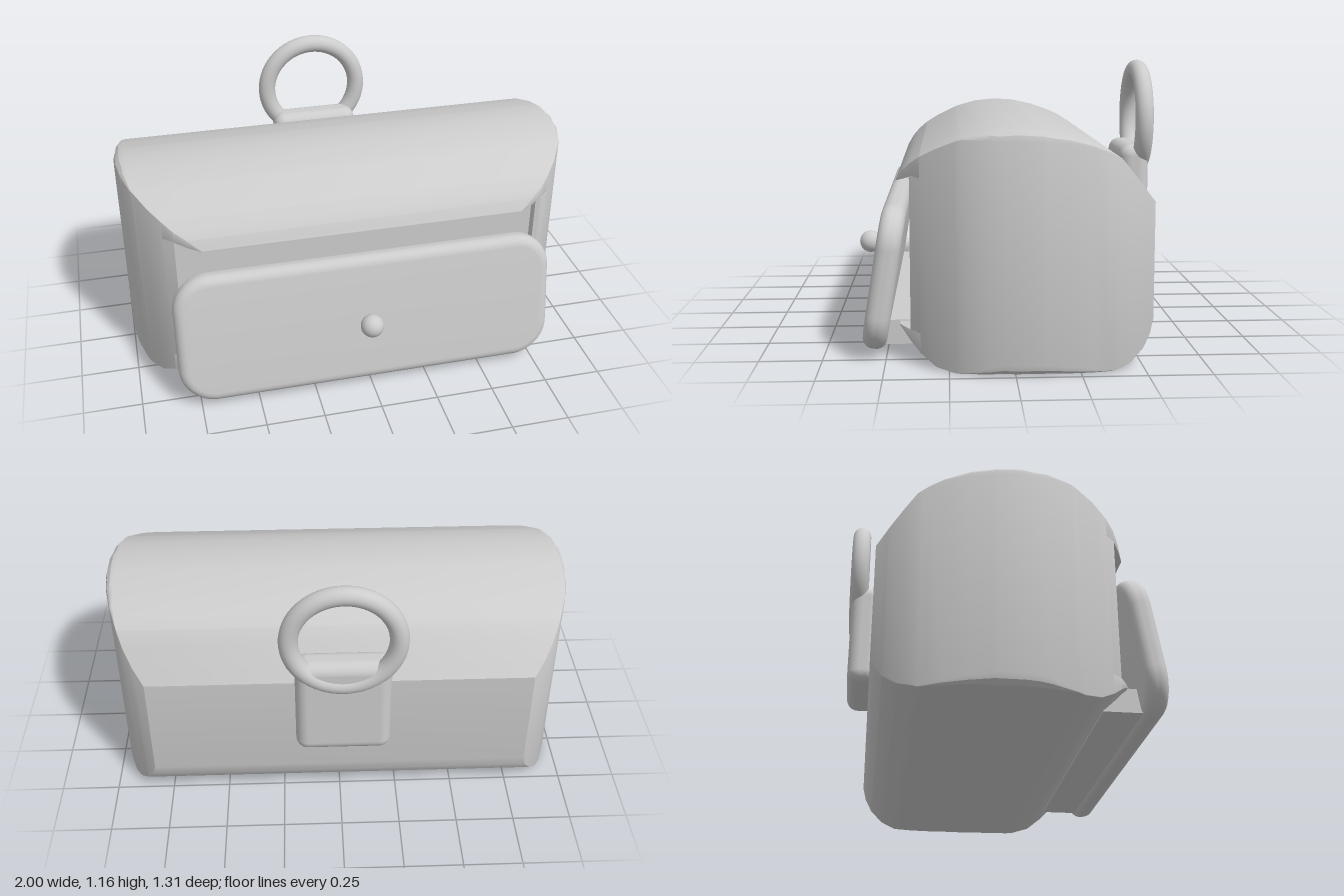
import * as THREE from 'three';
import { toCreasedNormals } from 'three/addons/utils/BufferGeometryUtils.js';
import { RoundedBoxGeometry } from 'three/addons/geometries/RoundedBoxGeometry.js';

// Linear lookup in a list of [z, value] pairs sorted by z
function lookup(table, z) {
  for (let i = 1; i < table.length; i++) {
    const [z0, v0] = table[i - 1], [z1, v1] = table[i];
    if (z <= z1) return v0 + (v1 - v0) * Math.max(0, (z - z0) / (z1 - z0));
  }
  return table[table.length - 1][1];
}

// Arched roof, rounded underside and bowed half-width, each as a function of z
const ROOF = [[-0.55, 0.635], [-0.4, 0.815], [-0.35, 0.847], [-0.3, 0.87], [-0.2, 0.905], [-0.1, 0.927], [0, 0.933],
  [0.1, 0.923], [0.2, 0.895], [0.3, 0.851], [0.36, 0.817], [0.4, 0.785], [0.43, 0.753], [0.455, 0.71]];
const FLOOR = [[-0.55, 0.17], [-0.535, 0.115], [-0.505, 0.067], [-0.45, 0.023], [-0.38, 0], [0.23, 0],
  [0.3, 0.012], [0.36, 0.052], [0.4, 0.09], [0.445, 0.135]];
const WIDTH = [[-0.55, 0.815], [-0.5, 0.863], [-0.45, 0.9], [-0.4, 0.927], [-0.3, 0.964], [-0.2, 0.987], [-0.1, 0.999],
  [0, 0.999], [0.1, 0.984], [0.2, 0.95], [0.3, 0.89], [0.36, 0.84], [0.4, 0.797], [0.43, 0.745], [0.455, 0.69]];
const EDGE = [[-0.38, 0.002], [-0.12, 0.045], [0.05, 0.045], [0.22, 0.002]];

// Rounded rectangle, counter-clockwise seen from +z
function ring(x0, x1, y0, y1, z, r = 0.001) {
  const pts = [];
  const corners = [[x1 - r, y0 + r, -90], [x1 - r, y1 - r, 0], [x0 + r, y1 - r, 90], [x0 + r, y0 + r, 180]];
  for (const [cx, cy, start] of corners) {
    for (let i = 0; i <= 3; i++) {
      const a = THREE.MathUtils.degToRad(start + i * 30);
      pts.push([cx + r * Math.cos(a), cy + r * Math.sin(a), z]);
    }
  }
  return pts;
}

// Closed solid through rings listed in order of increasing z
function loft(rings) {
  const n = rings[0].length, index = [];
  rings.slice(1).forEach((_, i) => {
    for (let j = 0; j < n; j++) {
      const a = i * n + j, b = i * n + (j + 1) % n;
      index.push(a, b, b + n, a, b + n, a + n);
    }
  });
  const last = (rings.length - 1) * n;
  for (let j = 1; j < n - 1; j++) index.push(0, j + 1, j, last, last + j, last + j + 1);
  const geo = new THREE.BufferGeometry();
  geo.setAttribute('position', new THREE.Float32BufferAttribute(rings.flat(2), 3));
  geo.setIndex(index);
  return toCreasedNormals(geo, 0.5);
}

// All profile stations between two z values
function stations(from, to) {
  const all = [from, to, ...[ROOF, FLOOR, WIDTH, EDGE].flat().map(p => p[0])];
  return [...new Set(all)].filter(z => z >= from && z <= to).sort((a, b) => a - b);
}

function roundedPanel(w, h, corner, depth, bevel) {
  const x = w / 2 - bevel, y = h / 2 - bevel, r = corner - bevel;
  const s = new THREE.Shape();
  s.absarc(x - r, -y + r, r, -Math.PI / 2, 0);
  s.absarc(x - r, y - r, r, 0, Math.PI / 2);
  s.absarc(-x + r, y - r, r, Math.PI / 2, Math.PI);
  s.absarc(-x + r, -y + r, r, Math.PI, Math.PI * 1.5);
  s.closePath();
  const geo = new THREE.ExtrudeGeometry(s, {
    depth: depth - 2 * bevel, bevelEnabled: true, bevelSize: bevel, bevelThickness: bevel,
    bevelSegments: 6, curveSegments: 10,
  });
  geo.translate(0, 0, -depth / 2 + bevel);
  return toCreasedNormals(geo, 0.6);
}

export function createModel() {
  const model = new THREE.Group();
  model.name = 'box';
  const grey = new THREE.MeshStandardMaterial({ color: 0xcccccc });
  grey.name = 'light grey';
  const add = (name, geo, x = 0, y = 0, z = 0) => {
    const mesh = new THREE.Mesh(geo, grey);
    mesh.name = name;
    mesh.position.set(x, y, z);
    model.add(mesh);
    return mesh;
  };
  const W = z => lookup(WIDTH, z), T = z => lookup(ROOF, z), B = z => lookup(FLOOR, z);

  // Main body, ending at the recessed front wall
  const front = 0.36;
  add('body', loft(stations(-0.55, front).map(z =>
    ring(-W(z), W(z), B(z), T(z), z, Math.max(0.001, lookup(EDGE, z))))));

  // Roof lip, bottom lip and side flanges framing the front opening
  add('roofLip', loft(stations(front, 0.455).map(z =>
    ring(-W(z), W(z), Math.min(0.735, 0.735 - (z - 0.4) * 0.5), Math.max(T(z), 0.712), z))));
  add('bottomLip', loft(stations(front, 0.445).map(z =>
    ring(-W(z), W(z), Math.min(B(z), 0.132), 0.136, z))));
  for (const side of [-1, 1]) {
    add(side > 0 ? 'leftFlange' : 'rightFlange', loft(stations(front, 0.4).map(z => {
      const xs = [side * 0.775, side * W(z)].sort((a, b) => a - b);
      return ring(xs[0], xs[1], 0.13, 0.74, z);
    })));
  }

  // Tilted front door with its support shelf and knob
  const door = add('frontDoor', roundedPanel(1.65, 0.588, 0.16, 0.098, 0.042), -0.01, 0.315, 0.507);
  door.rotation.x = -0.16;
  add('doorShelf', new THREE.BoxGeometry(1.36, 0.1, 0.18), -0.01, 0.09, 0.44);
  add('knob', new THREE.SphereGeometry(0.05, 32, 20), -0.01, 0.33, 0.608);

  // Hanging bracket and ring on the back
  add('backBracket', new RoundedBoxGeometry(0.4, 0.46, 0.13, 6, 0.05), -0.01, 0.56, -0.58);
  add('hangingRing', new THREE.TorusGeometry(0.222, 0.04, 20, 64), -0.01, 0.9, -0.615);

  return model;
}
